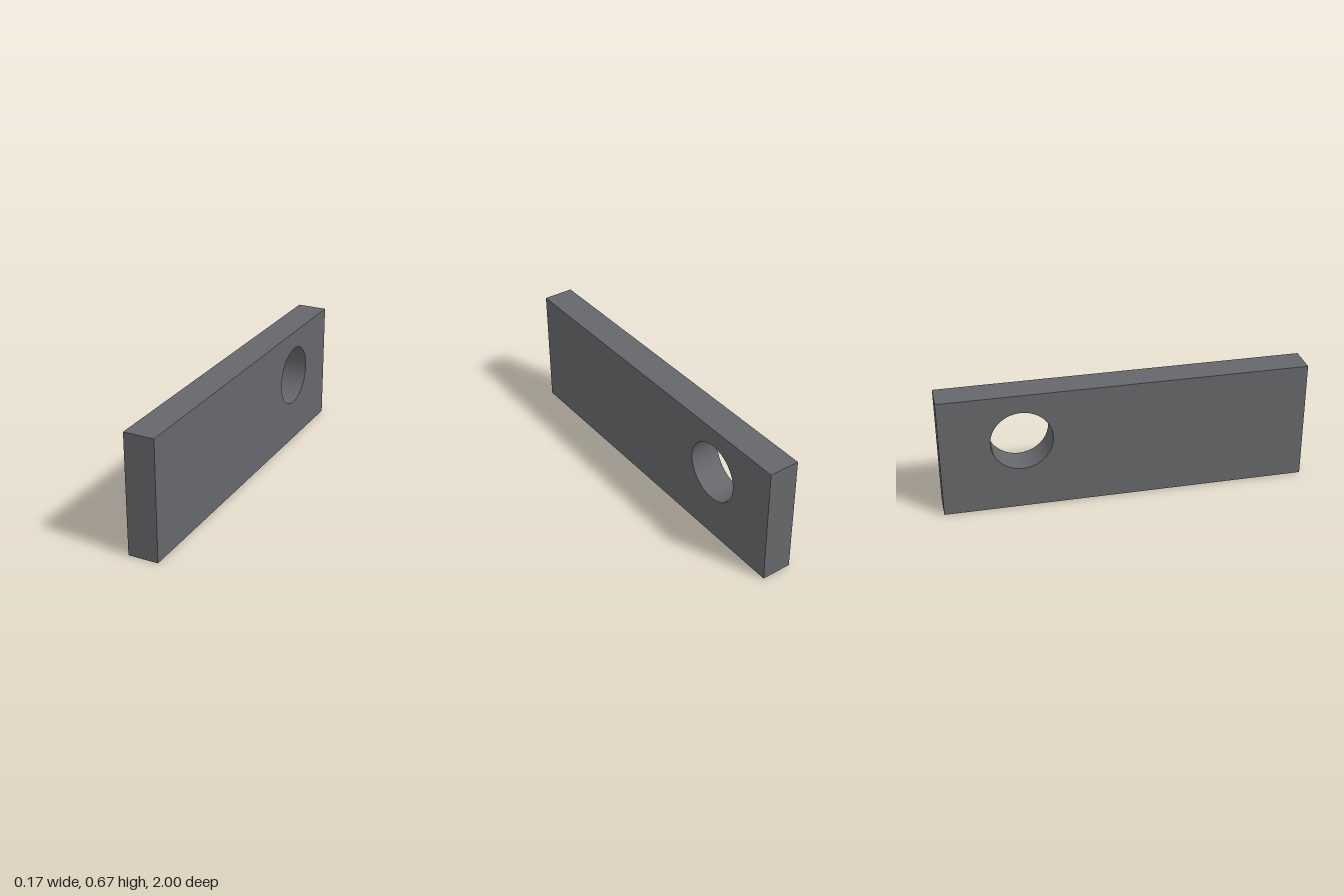
import * as THREE from 'three';

const LENGTH = 2, HEIGHT = 0.667, THICKNESS = 0.167;
const HOLE = { back: 0.565, y: 0.4, radius: 0.167 };

export function createModel() {
  const group = new THREE.Group();
  group.name = 'drilledBar';

  // Side profile of the bar: shape x runs towards the back
  const profile = new THREE.Shape();
  profile.moveTo(-LENGTH / 2, 0);
  profile.lineTo(LENGTH / 2, 0);
  profile.lineTo(LENGTH / 2, HEIGHT);
  profile.lineTo(-LENGTH / 2, HEIGHT);
  profile.closePath();

  // Round through-hole near the back end
  const hole = new THREE.Path();
  hole.absarc(HOLE.back, HOLE.y, HOLE.radius, 0, Math.PI * 2, true);
  profile.holes.push(hole);

  // Extrude across the thickness, then turn the length onto the z axis
  const geometry = new THREE.ExtrudeGeometry(profile, {
    depth: THICKNESS, bevelEnabled: false, curveSegments: 40,
  });
  geometry.translate(0, 0, -THICKNESS / 2);
  geometry.rotateY(Math.PI / 2);

  const bar = new THREE.Mesh(
    geometry,
    new THREE.MeshStandardMaterial({ color: 0x66676a }),
  );
  bar.name = 'bar';
  group.add(bar);
  return group;
}
